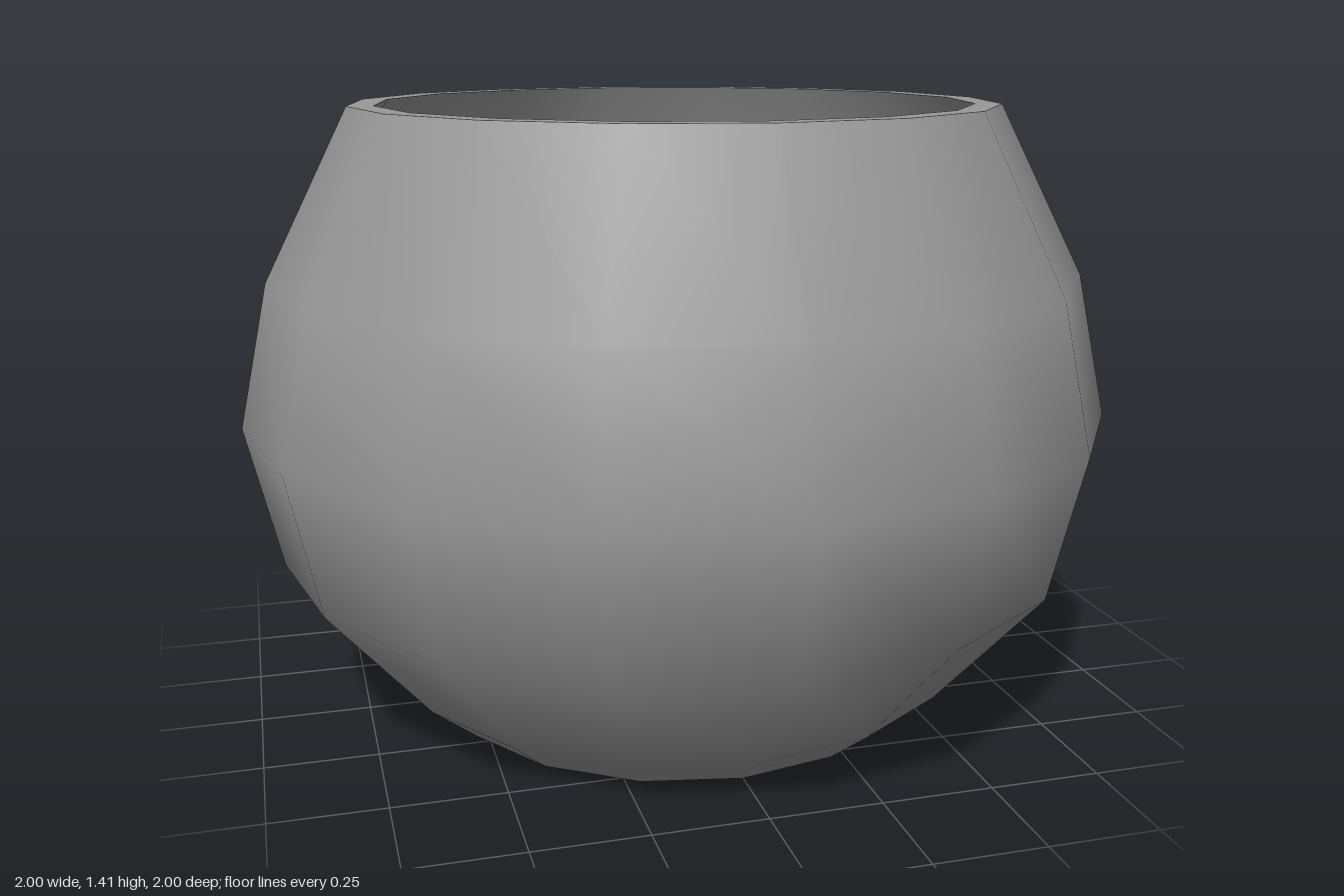
import * as THREE from 'three';

// Round sixteen-sided bowl, open at the top, filled with folded paper slips
export function createModel() {
  const model = new THREE.Group();
  const gray = new THREE.MeshStandardMaterial({ color: 0x999999 });
  const paperGray = new THREE.MeshStandardMaterial({ color: 0x999999, side: THREE.DoubleSide });
  gray.name = 'bowl gray';
  paperGray.name = 'paper gray';

  // Bowl surfaces, each a separate lathe so the rim and base edges stay sharp
  const bowl = new THREE.Group();
  bowl.name = 'bowl';
  model.add(bowl);
  const lathe = (name, profile) => {
    const points = profile.map(([r, y]) => new THREE.Vector2(r, y));
    const mesh = new THREE.Mesh(new THREE.LatheGeometry(points, 16), gray);
    mesh.name = name;
    bowl.add(mesh);
  };
  lathe('bowlOutside', [[0.57, 0], [0.68, 0.09], [0.924, 0.375], [1, 0.705], [0.93, 1.03], [0.737, 1.41]]);
  lathe('bowlRim', [[0.737, 1.41], [0.678, 1.41]]);
  lathe('bowlInside', [[0.678, 1.41], [0.87, 1.02], [0.935, 0.705], [0.865, 0.4], [0.63, 0.13], [0.54, 0.06]]);
  lathe('bowlFloor', [[0.54, 0.06], [0, 0.06]]);
  lathe('bowlBase', [[0, 0], [0.57, 0]]);

  // One slip: a rectangle creased across the middle, both halves sloping down
  const sheet = new THREE.PlaneGeometry(0.45, 0.28, 2, 1).rotateX(-Math.PI / 2);
  const pos = sheet.attributes.position;
  for (let i = 0; i < pos.count; i++) pos.setY(i, -Math.abs(pos.getX(i)) * 0.21);
  const slipGeometry = sheet.toNonIndexed();
  slipGeometry.computeVertexNormals();

  // x, y, z of the crease, then heading, roll about the long axis, pitch along it (degrees)
  const slips = [
    [-0.22, 1.05, -0.4, -2, 0, 0],
    [-0.07, 1.32, 0.31, -112, 0, -14],
    [0.09, 1.16, -0.1, 8, 3, -10],
    [0.28, 1.09, 0.2, 35, 0, 14],
    [-0.57, 0.87, 0.05, -111, 12, 0],
    [-0.2, 0.82, 0.03, 88, 4, 0],
    [-0.22, 0.88, -0.25, 12, 8, 0],
    [-0.52, 0.74, -0.27, 65, -15, 8],
    [0.45, 0.84, -0.35, -50, 8, 0],
    [0.53, 0.95, -0.1, 25, 0, -8],
    [0.55, 0.79, 0.12, 65, 10, 0],
    [-0.46, 0.72, 0.36, 40, 6, 0],
    [-0.21, 1.08, 0.43, -85, 0, 0],
    [0.06, 0.79, 0.5, 75, 6, 0],
    [0.36, 0.69, 0.38, 12, 8, 0],
    [0.2, 0.6, 0.48, 100, 0, 0],
    [-0.05, 0.7, -0.61, 6, 60, 0],
    [0.32, 0.64, -0.1, -60, 0, 6],
    [-0.45, 0.54, -0.1, 20, 0, 0],
    [0.05, 0.54, 0.15, -20, 0, 5],
    [0.45, 0.46, 0.15, 80, 0, 0],
    [-0.3, 0.39, 0.3, -35, 0, 0],
    [-0.25, 0.34, -0.3, 50, 0, 0],
    [0.1, 0.29, 0.25, 10, 0, 0],
  ];
  const papers = new THREE.Group();
  papers.name = 'paperSlips';
  model.add(papers);
  const rad = THREE.MathUtils.degToRad;
  slips.forEach(([x, y, z, heading, roll, pitch], i) => {
    const slip = new THREE.Mesh(slipGeometry, paperGray);
    slip.name = `paperSlip${i + 1}`;
    slip.position.set(x, y, z);
    slip.rotation.set(rad(roll), rad(heading), rad(pitch), 'YXZ');
    papers.add(slip);
  });
  return model;
}
